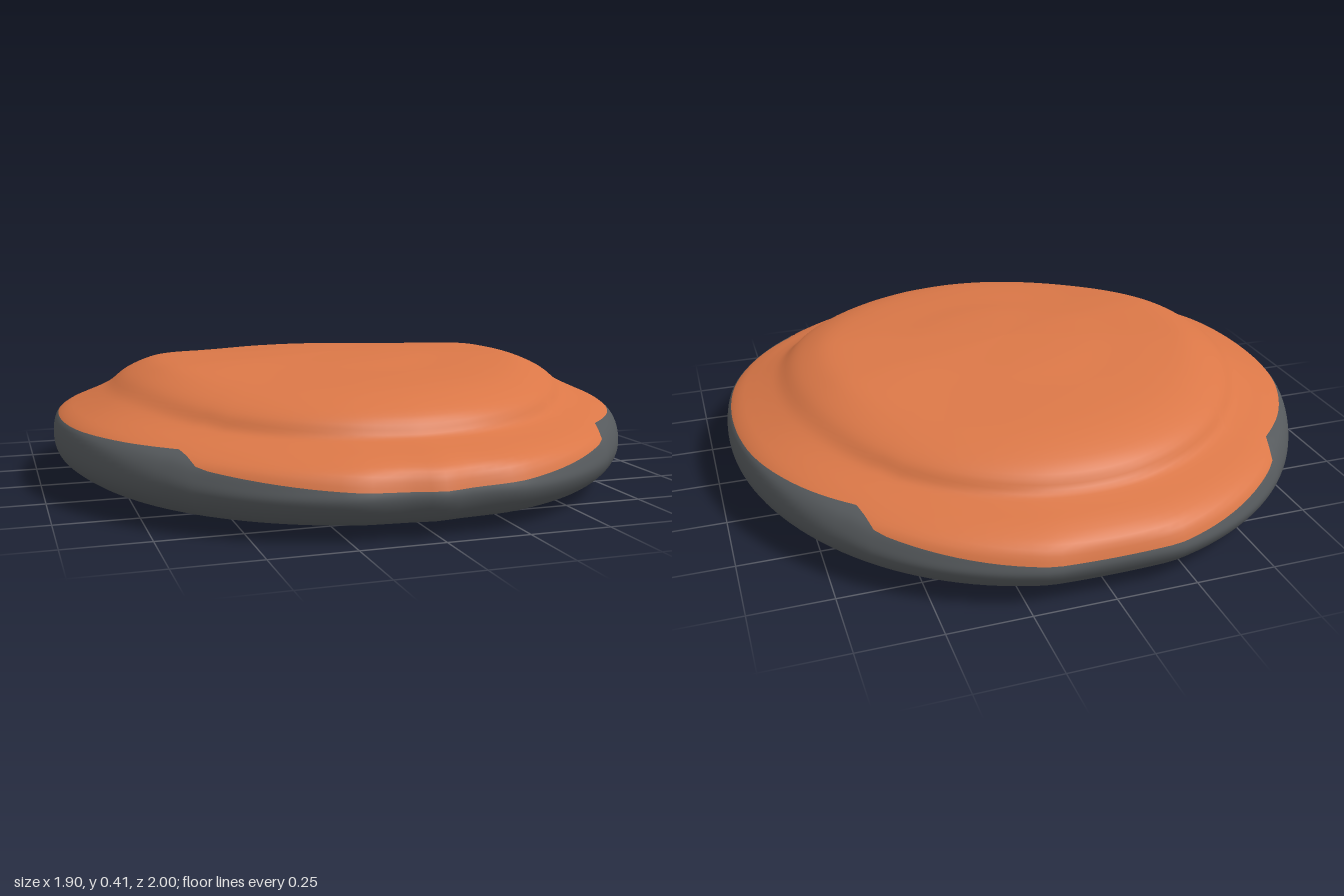
import * as THREE from 'three';

// Cross-sections from the centre of the underside, round the rim, to the centre of the top.
// Each row: radius and height at the front and back, then radius and height at the sides.
const SECTIONS = [
  [0, 0, 0, 0], [0.6, 0.003, 0.68, 0.002], [0.75, 0.014, 0.8, 0.01],
  [0.88, 0.028, 0.87, 0.026], [0.95, 0.05, 0.94, 0.06], [0.985, 0.085, 0.985, 0.1],
  [1, 0.12, 1, 0.15], [0.995, 0.147, 0.99, 0.215], [0.975, 0.19, 0.96, 0.24],
  [0.92, 0.22, 0.91, 0.262], [0.85, 0.24, 0.86, 0.283], [0.81, 0.256, 0.81, 0.307],
  [0.785, 0.295, 0.76, 0.345], [0.74, 0.325, 0.71, 0.37], [0.64, 0.357, 0.645, 0.391],
  [0.5, 0.375, 0.55, 0.398], [0.36, 0.385, 0.38, 0.401], [0.25, 0.397, 0.25, 0.404],
  [0, 0.405, 0, 0.405],
];
const AROUND = 144, ROWS = 36;
const curve = (k) => new THREE.CatmullRomCurve3(
  SECTIONS.map((s) => new THREE.Vector3(s[k], s[k + 1], 0)), false, 'centripetal');
const endCurve = curve(0), sideCurve = curve(2);

// Height of the colour seam: level along the sides, dipping at front and back
function seamHeight(c) {
  const dip = 0.14 + 0.05 * (c / 0.68) ** 2;
  return THREE.MathUtils.lerp(dip, 0.225, THREE.MathUtils.smoothstep(c, 0.66, 0.74));
}

// Depth of the outline: flat at the back, slightly pointed at the front
function depthScale(sin, c) {
  const s = Math.max(Math.abs(sin), 0.01);
  return sin < 0
    ? Math.min(1.02, 1 / s)
    : Math.min(1.01, (0.98 + 0.02 * Math.exp(-((c / 0.06) ** 2))) / s);
}

export function createModel() {
  const orange = new THREE.MeshStandardMaterial({ color: 0xda7747 });
  orange.name = 'orange';
  const grey = new THREE.MeshStandardMaterial({ color: 0x55595c });
  grey.name = 'dark grey';

  // One column of points per angle, with row ROWS lying on the seam
  const points = [];
  for (let j = 0; j < AROUND; j++) {
    const angle = (j / AROUND) * Math.PI * 2;
    const cos = Math.cos(angle), sin = Math.sin(angle), c = Math.abs(cos);
    const weight = THREE.MathUtils.smoothstep(Math.abs(sin), 0.2, 0.95);
    const at = (t) => sideCurve.getPoint(t).lerp(endCurve.getPoint(t), weight);
    let low = 0.2, high = 0.8;
    for (let k = 0; k < 24; k++) {
      const mid = (low + high) / 2;
      if (at(mid).y < seamHeight(c)) low = mid; else high = mid;
    }
    for (let i = 0; i <= 2 * ROWS; i++) {
      const t = i <= ROWS ? (low * i) / ROWS : low + ((1 - low) * (i - ROWS)) / ROWS;
      const p = at(t), r = Math.max(p.x, 0);
      const depth = 1 + (depthScale(sin, c) - 1) * r ** 8;
      points.push(0.95 * r * cos, Math.max(p.y, 0), r * sin * depth);
    }
  }

  // Triangles between two rows of the shared skin
  const stride = 2 * ROWS + 1;
  const faces = (from, to) => {
    const index = [];
    for (let j = 0; j < AROUND; j++) {
      for (let i = from; i < to; i++) {
        const a = j * stride + i, b = ((j + 1) % AROUND) * stride + i;
        index.push(a, a + 1, b, b, a + 1, b + 1);
      }
    }
    return index;
  };

  // Normals come from the whole skin, so shading runs smoothly over the seam
  const skin = new THREE.BufferGeometry();
  skin.setAttribute('position', new THREE.Float32BufferAttribute(points, 3));
  skin.setIndex(faces(0, 2 * ROWS));
  skin.computeVertexNormals();

  const group = new THREE.Group();
  group.name = 'roundedDisc';
  const addPart = (name, material, from, to) => {
    const geometry = skin.clone();
    geometry.setIndex(faces(from, to));
    const mesh = new THREE.Mesh(geometry, material);
    mesh.name = name;
    group.add(mesh);
  };
  addPart('base', grey, 0, ROWS);
  addPart('topCover', orange, ROWS, 2 * ROWS);
  return group;
}
